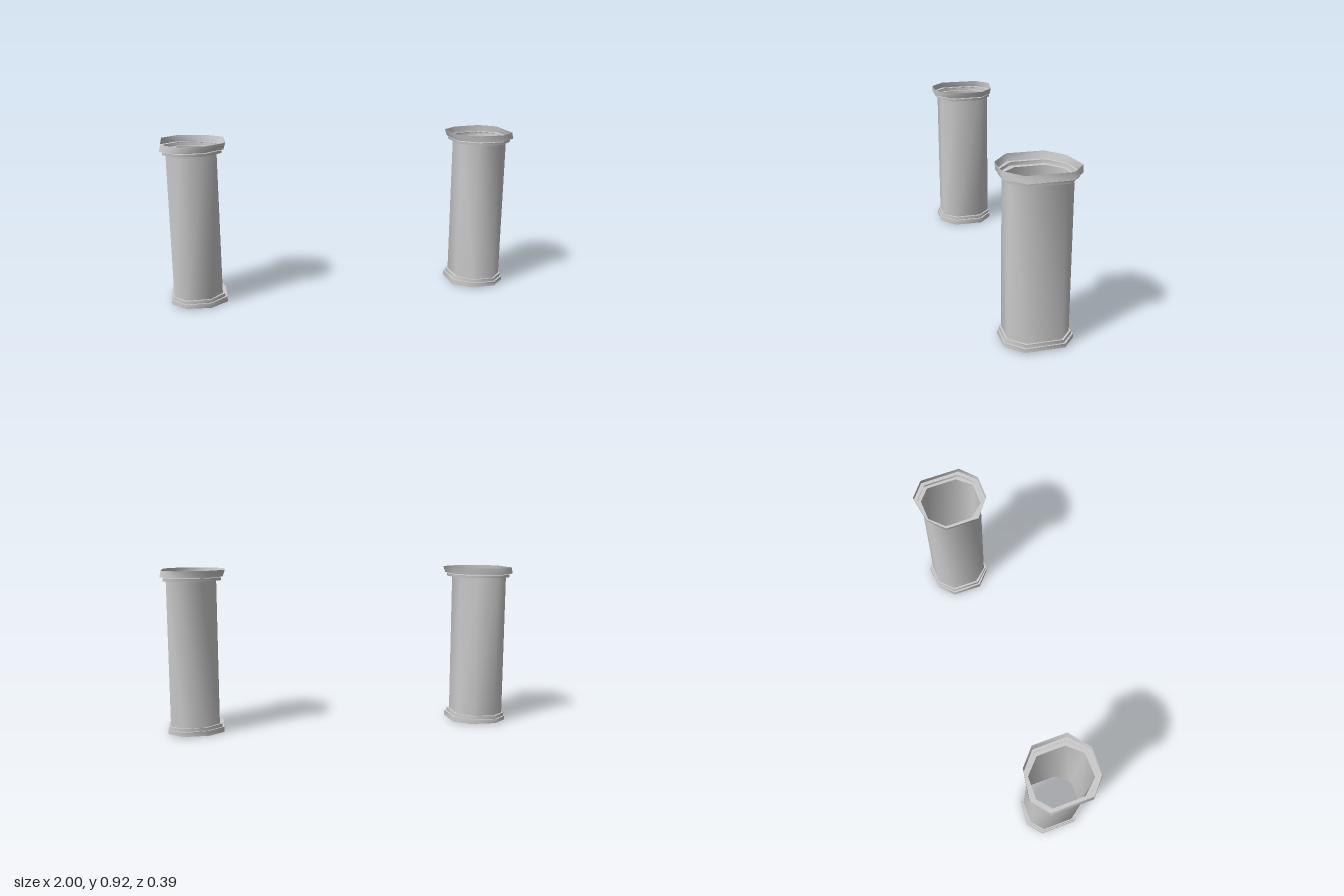
import * as THREE from 'three';

// Uneven octagon plans [x, z], counter-clockwise seen from above
const shaftPlan = [[0.90, -0.155], [0.78, -0.152], [0.70, -0.075], [0.70, 0.08],
  [0.77, 0.16], [0.90, 0.16], [0.97, 0.08], [0.97, -0.095]];
const rimPlan = [[0.906, -0.195], [0.746, -0.167], [0.655, -0.085], [0.655, 0.107],
  [0.767, 0.193], [0.906, 0.193], [0.997, 0.11], [0.997, -0.12]];

// Ring heights and widths: [y, blend from shaft to rim plan, x shift, tilt]
const profiles = {
  base: [[0, 0.57, 0, 0.03], [0.03, 0.55, 0, 0], [0.03, 0.3, 0, 0], [0.048, 0.28, 0, 0], [0.048, 0, 0, 0]],
  shaft: [[0.048, 0, 0, 0], [0.86, 0, 0, 0]],
  capital: [[0.86, 0, 0, 0], [0.86, 0.58, 0, 0], [0.875, 0.62, 0, 0], [0.877, 0.42, 0, 0],
    [0.881, 0.42, 0, 0], [0.881, 0.93, 0.006, 0], [0.917, 1, -0.003, 0]],
};

function ring([y, t, dx, tilt], side) {
  return shaftPlan.map(([x, z], i) => {
    const px = x + (rimPlan[i][0] - x) * t + dx;
    const pz = z + (rimPlan[i][1] - z) * t;
    return [side * px, y + tilt * (px - 0.675), pz];
  });
}

// One closed band between two rings, smooth around the column
function band(lower, upper, side, material) {
  const n = shaftPlan.length;
  const positions = [...ring(lower, side), ...ring(upper, side)].flat();
  const index = [];
  for (let i = 0; i < n; i++) {
    const j = (i + 1) % n;
    if (side > 0) index.push(i, j, n + i, j, n + j, n + i);
    else index.push(i, n + i, j, j, n + i, n + j);
  }
  const geometry = new THREE.BufferGeometry();
  geometry.setAttribute('position', new THREE.Float32BufferAttribute(positions, 3));
  geometry.setIndex(index);
  geometry.computeVertexNormals();
  return new THREE.Mesh(geometry, material);
}

export function createModel() {
  const model = new THREE.Group();
  model.name = 'columnPair';
  const material = new THREE.MeshStandardMaterial({ color: 0xcccccc, side: THREE.DoubleSide });

  // Mirrored pair of hollow columns, each with base, shaft and capital
  for (const side of [1, -1]) {
    const column = new THREE.Group();
    column.name = side > 0 ? 'leftColumn' : 'rightColumn';
    for (const [name, rings] of Object.entries(profiles)) {
      const part = new THREE.Group();
      part.name = name;
      for (let i = 0; i < rings.length - 1; i++) {
        const mesh = band(rings[i], rings[i + 1], side, material);
        mesh.name = `${name}Band${i + 1}`;
        part.add(mesh);
      }
      column.add(part);
    }
    model.add(column);
  }
  return model;
}
